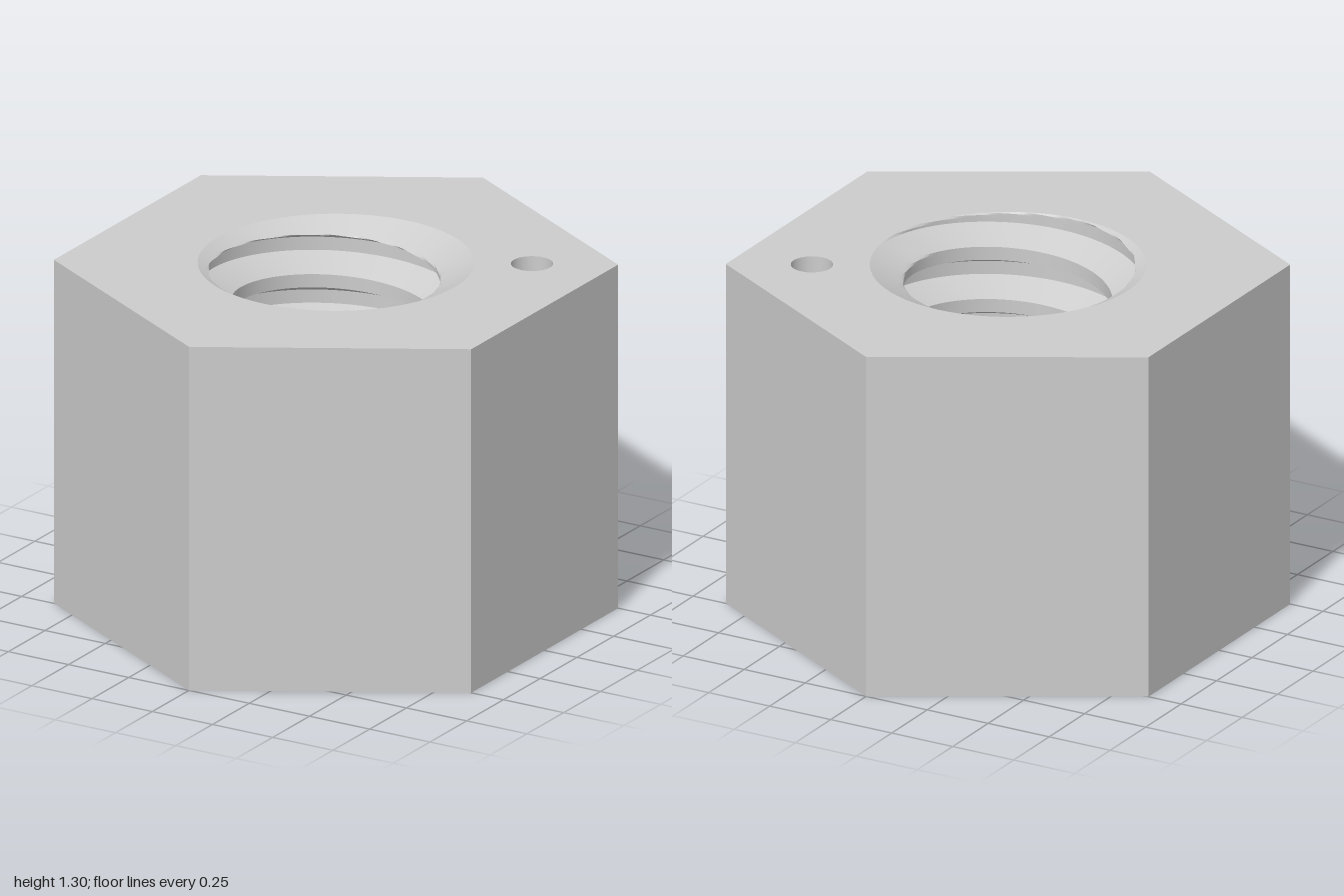
import * as THREE from 'three';
import { toCreasedNormals } from 'three/addons/utils/BufferGeometryUtils.js';

const HEIGHT = 1.3, PITCH = 0.2, MINOR = 0.37, MAJOR = 0.485, RIM = 0.49;
const ROOT = 0.025, CREST = 0.075; // half widths of the groove at its root and mouth
const CHAMFER_SLOPE = 0.52, SEGMENTS = 120;
const PIN = { x: 0.6, z: -0.35, radius: 0.075, depth: 0.2 };

// Hexagonal face with the bore and pin hole, facing up
function topFace() {
  const shape = new THREE.Shape();
  for (let i = 0; i < 6; i++) {
    const a = Math.PI / 2 + i * Math.PI / 3;
    shape[i ? 'lineTo' : 'moveTo'](Math.cos(a), Math.sin(a));
  }
  for (const [x, y, r] of [[0, 0, RIM], [PIN.x, -PIN.z, PIN.radius]]) {
    shape.holes.push(new THREE.Path().absarc(x, y, r, 0, Math.PI * 2, true));
  }
  return new THREE.ShapeGeometry(shape, SEGMENTS / 2).rotateX(-Math.PI / 2);
}

// Ring whose outer edge is pushed in to a hexagon, facing down
function bottomFace() {
  const geometry = new THREE.RingGeometry(RIM, 1, SEGMENTS, 1);
  const pos = geometry.attributes.position;
  for (let i = SEGMENTS + 1; i < pos.count; i++) {
    const a = (i - SEGMENTS - 1) / SEGMENTS * Math.PI * 2;
    const fromFlat = a - Math.round(a / (Math.PI / 3)) * Math.PI / 3;
    const r = Math.cos(Math.PI / 6) / Math.cos(fromFlat);
    pos.setXY(i, Math.cos(a) * r, Math.sin(a) * r);
  }
  return geometry.rotateX(Math.PI / 2);
}

// Countersunk right-hand thread: rows of points follow the helix
function threadedBore() {
  const rows = [];
  const span = (from, to, steps, centre) => {
    for (let i = 0; i < steps; i++) {
      const u = from + (to - from) * i / steps;
      const k = THREE.MathUtils.clamp((Math.abs(u) - ROOT) / (CREST - ROOT), 0, 1);
      rows.push({ t: centre + u, r: MAJOR + (MINOR - MAJOR) * k });
    }
  };
  for (let n = -7; n <= 1; n++) {
    const c = 1.32 + n * PITCH;
    span(-CREST, -ROOT, 10, c);
    span(-ROOT, ROOT, 6, c);
    span(ROOT, CREST, 10, c);
    span(CREST, PITCH - CREST, 6, c);
  }
  const point = (row, i) => {
    const a = i / SEGMENTS * Math.PI * 2;
    const y = THREE.MathUtils.clamp(row.t - PITCH * i / SEGMENTS, 0, HEIGHT);
    const r = Math.max(row.r, RIM - Math.min(y, HEIGHT - y) / CHAMFER_SLOPE);
    return [Math.cos(a) * r, y, Math.sin(a) * r];
  };
  const pos = [];
  for (let j = 0; j < rows.length - 1; j++) {
    for (let i = 0; i < SEGMENTS; i++) {
      const a = point(rows[j], i), b = point(rows[j], i + 1);
      const c = point(rows[j + 1], i + 1), d = point(rows[j + 1], i);
      // Rows clamped to an end face collapse, so skip their empty triangles
      if (b[1] !== c[1]) pos.push(...a, ...b, ...c);
      if (a[1] !== d[1]) pos.push(...a, ...c, ...d);
    }
  }
  const geometry = new THREE.BufferGeometry();
  geometry.setAttribute('position', new THREE.Float32BufferAttribute(pos, 3));
  return toCreasedNormals(geometry, 0.35);
}

export function createModel() {
  const group = new THREE.Group();
  group.name = 'hexNut';
  const steel = new THREE.MeshStandardMaterial({ color: 0xcccccc, side: THREE.DoubleSide });
  steel.name = 'steel grey';

  const add = (name, geometry, x = 0, y = 0, z = 0) => {
    const mesh = new THREE.Mesh(geometry, steel);
    mesh.name = name;
    mesh.position.set(x, y, z);
    group.add(mesh);
  };

  // Six flat sides
  const sides = new THREE.CylinderGeometry(1, 1, HEIGHT, 6, 1, true);
  add('hexSides', toCreasedNormals(sides, 0.1), 0, HEIGHT / 2);

  // End faces and bore
  add('topFace', topFace(), 0, HEIGHT);
  add('bottomFace', bottomFace());
  add('threadedBore', threadedBore());

  // Small blind hole in the top face
  const wall = new THREE.CylinderGeometry(PIN.radius, PIN.radius, PIN.depth, SEGMENTS, 1, true);
  add('pinHoleWall', wall, PIN.x, HEIGHT - PIN.depth / 2, PIN.z);
  const floor = new THREE.CircleGeometry(PIN.radius, SEGMENTS).rotateX(-Math.PI / 2);
  add('pinHoleFloor', floor, PIN.x, HEIGHT - PIN.depth, PIN.z);

  return group;
}
